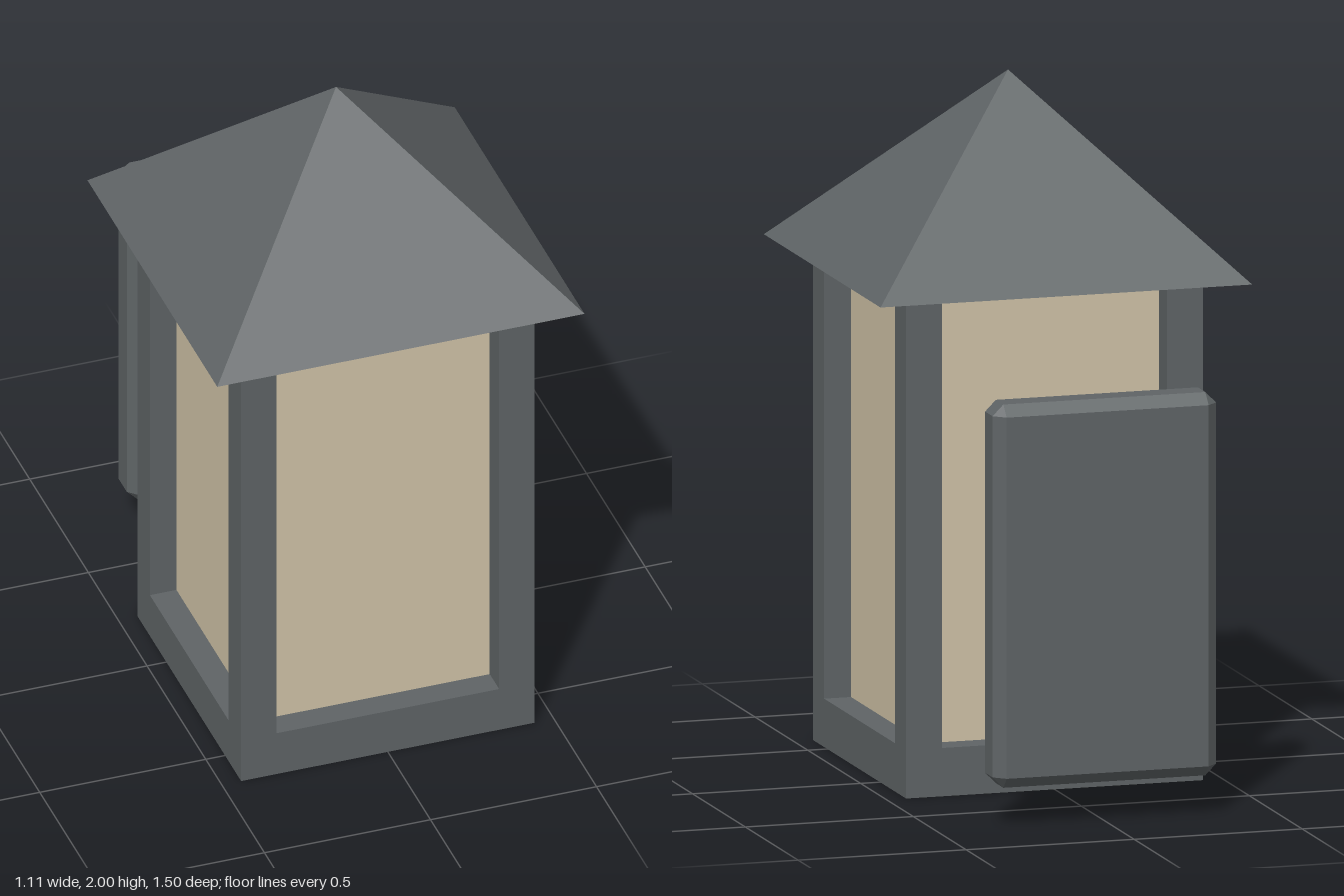
import * as THREE from 'three';
import { ConvexGeometry } from 'three/addons/geometries/ConvexGeometry.js';

const metal = new THREE.MeshStandardMaterial({ color: 0x5f6466 });
metal.name = 'grey metal';
const glass = new THREE.MeshStandardMaterial({ color: 0xd0c3a7 });
glass.name = 'warm glass';

function add(parent, name, geometry, material, x, y, z) {
  const mesh = new THREE.Mesh(geometry, material);
  mesh.name = name;
  mesh.position.set(x, y, z);
  parent.add(mesh);
  return mesh;
}

// Box with every edge cut at 45 degrees
function chamferedBox(w, h, d, c) {
  const points = [];
  for (const sx of [-1, 1]) for (const sy of [-1, 1]) for (const sz of [-1, 1]) {
    for (let axis = 0; axis < 3; axis++) {
      const p = [w / 2, h / 2, d / 2].map((v, i) => (i === axis ? v : v - c));
      points.push(new THREE.Vector3(sx * p[0], sy * p[1], sz * p[2]));
    }
  }
  return new ConvexGeometry(points);
}

export function createModel() {
  const model = new THREE.Group();
  model.name = 'wallLantern';

  // Lantern body, offset forward from the wall plate
  const lantern = new THREE.Group();
  lantern.name = 'lantern';
  lantern.position.z = 0.195;
  model.add(lantern);

  const half = 0.442, post = 0.107, baseH = 0.14, eaveY = 1.45;
  const postH = eaveY - baseH;
  add(lantern, 'base', new THREE.BoxGeometry(half * 2, baseH, half * 2), metal, 0, baseH / 2, 0);
  for (const sx of [-1, 1]) for (const sz of [-1, 1]) {
    add(lantern, 'cornerPost', new THREE.BoxGeometry(post, postH, post), metal,
      sx * (half - post / 2), baseH + postH / 2, sz * (half - post / 2));
  }
  add(lantern, 'glassPanes', new THREE.BoxGeometry(0.724, postH, 0.724), glass, 0, baseH + postH / 2, 0);

  // Pyramid roof with flat faces
  const roof = new THREE.ConeGeometry(0.553 * Math.SQRT2, 2 - eaveY, 4).rotateY(Math.PI / 4).toNonIndexed();
  roof.computeVertexNormals();
  add(lantern, 'roof', roof, metal, 0, (2 + eaveY) / 2, 0);

  // Arm and wall plate at the back
  add(model, 'arm', new THREE.BoxGeometry(0.165, 0.217, 0.5), metal, 0, 0.669, -0.38);
  add(model, 'wallPlate', chamferedBox(0.665, 1.11, 0.135, 0.032), metal, 0, 0.668, -0.682);

  return model;
}
